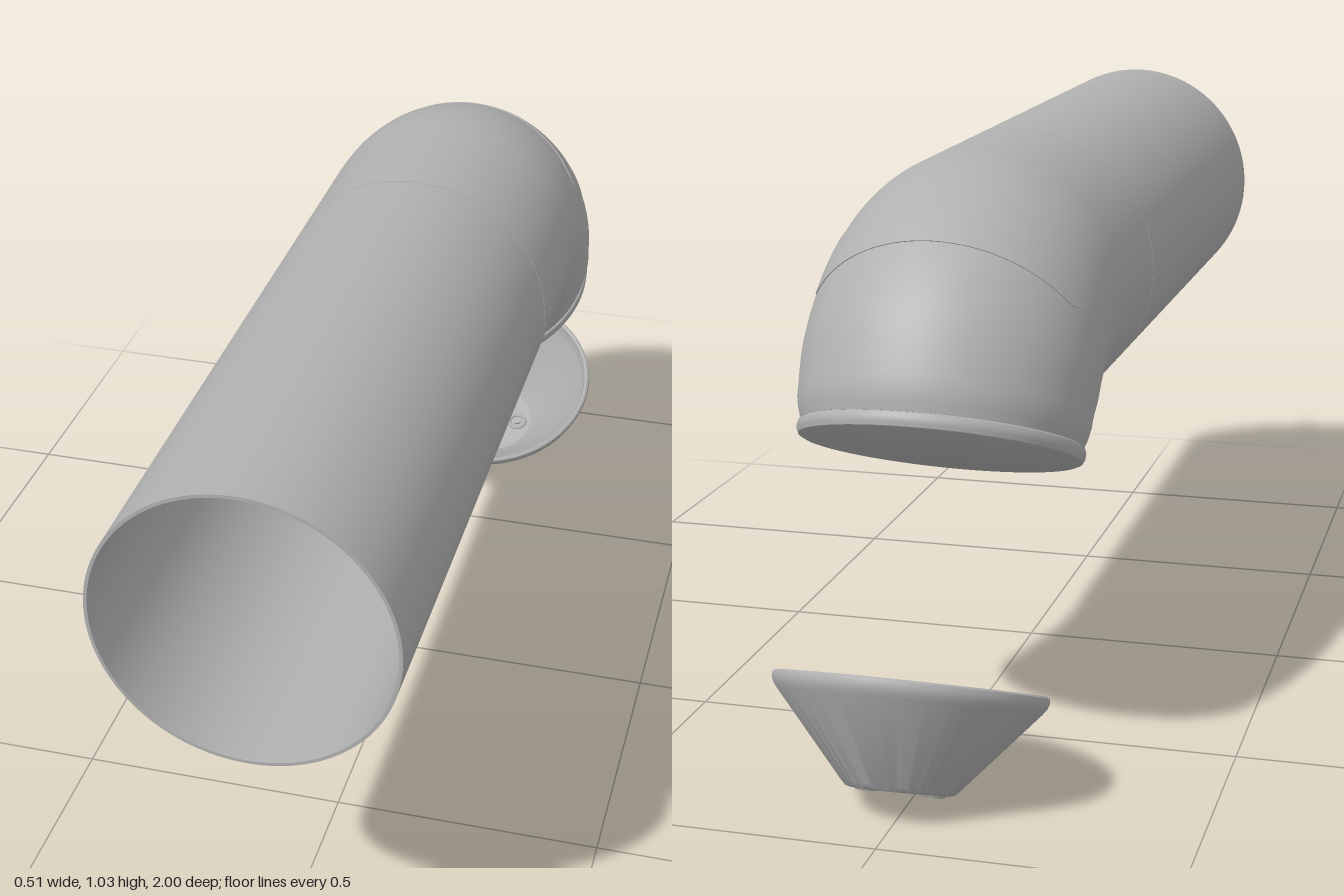
import * as THREE from 'three';
import { toCreasedNormals } from 'three/addons/utils/BufferGeometryUtils.js';

const R = 0.257;            // pipe radius
const WALL = 0.006;
const AXIS_Y = 0.783;       // height of the straight pipe's axis
const JOINT_Z = -0.083;     // where pipe meets elbow
const BEND_Z = -0.345;      // where the bend starts
const BEND_R = 0.27;        // bend radius of the axis
const TURN = THREE.MathUtils.degToRad(65.9);
const TILT = Math.PI / 2 - TURN;

// Point on the bent pipe: bend angle a, straight distance l past it, radius r, angle phi round the axis
function bendPoint(a, l, r, phi) {
  const out = BEND_R + r * Math.cos(phi);
  return [
    r * Math.sin(phi),
    AXIS_Y - BEND_R + out * Math.cos(a) - l * Math.sin(a),
    BEND_Z - out * Math.sin(a) - l * Math.cos(a),
  ];
}

// Surface through a grid of points fn(i, j)
function grid(ni, nj, fn) {
  const pos = [], index = [];
  for (let i = 0; i <= ni; i++) for (let j = 0; j <= nj; j++) pos.push(...fn(i, j));
  for (let i = 0; i < ni; i++) for (let j = 0; j < nj; j++) {
    const a = i * (nj + 1) + j, c = a + nj + 1;
    index.push(a, a + 1, c, a + 1, c + 1, c);
  }
  const g = new THREE.BufferGeometry();
  g.setAttribute('position', new THREE.Float32BufferAttribute(pos, 3));
  g.setIndex(index);
  return toCreasedNormals(g, 0.6);
}

function lathe(points, segments = 96) {
  const profile = points.map(([x, y]) => new THREE.Vector2(x, y));
  return toCreasedNormals(new THREE.LatheGeometry(profile, segments), 0.6);
}

export function createModel() {
  const root = new THREE.Group();
  const grey = new THREE.MeshStandardMaterial({ color: 0xb0b0b0, side: THREE.DoubleSide });
  grey.name = 'grey';
  const add = (parent, name, geometry) => {
    const mesh = new THREE.Mesh(geometry, grey);
    mesh.name = name;
    parent.add(mesh);
    return mesh;
  };

  // Straight pipe with thin wall
  const pipe = add(root, 'straightPipe', lathe([
    [R - WALL, JOINT_Z + 0.002], [R, JOINT_Z + 0.002], [R, 1], [R - WALL, 1], [R - WALL, JOINT_Z + 0.002],
  ]));
  pipe.rotation.x = Math.PI / 2;
  pipe.position.y = AXIS_Y;

  // Elbow: short straight, bend, slight taper towards the end cap
  const stations = [{ a: 0, l: JOINT_Z - BEND_Z, r: R }];
  stations[0].l = -stations[0].l;
  const steps = 28;
  for (let k = 0; k <= steps; k++) {
    const a = TURN * k / steps;
    stations.push({ a, l: 0, r: R - 0.005 * THREE.MathUtils.smoothstep(k / steps, 0.75, 1) });
  }
  stations.push({ a: TURN, l: 0.02, r: R - 0.009 }, { a: TURN, l: 0.038, r: R - 0.015 });
  const inner = stations.map(s => ({ ...s, r: s.r - WALL })).reverse();
  const loop = [...stations, ...inner, stations[0]];
  add(root, 'elbow', grid(loop.length - 1, 96, (i, j) => {
    const s = loop[i];
    return bendPoint(s.a, s.l, s.r, j / 96 * Math.PI * 2);
  }));

  // Round-ended band set across the top of the bend
  const bandEnd = 1.21, bandMid = 0.54, half = 0.058, cap = half / R;
  const across = [-1, -0.5, 0, 0.5, 1];
  const section = [
    ...across.map(w => [w, R + 0.0015]),
    ...across.slice().reverse().map(w => [w, R - WALL - 0.01]),
    [-1, R + 0.0015],
  ];
  add(root, 'elbowBand', grid(section.length - 1, 96, (i, j) => {
    const phi = -bandEnd * Math.cos(j / 96 * Math.PI);
    const t = Math.max(0, (Math.abs(phi) - (bandEnd - cap)) / cap);
    const width = half * Math.sqrt(Math.max(0, 1 - t * t));
    const [w, r] = section[i];
    return bendPoint(bandMid + w * width / (BEND_R + R * Math.cos(phi)), 0, r, phi);
  }));

  // End cap with rounded lip closing the elbow
  const lip = add(root, 'endCap', lathe([
    [0, 0], [0.237, 0], [0.243, 0.003], [0.246, 0.009], [0.247, 0.018], [0.245, 0.025], [0.241, 0.028], [0, 0.028],
  ]));
  lip.position.set(...bendPoint(TURN, 0.066, 0, 0));
  lip.rotation.x = TILT;

  // Loose conical cup below, tilted like the end cap
  const cup = new THREE.Group();
  cup.name = 'cup';
  cup.position.set(0.004, 0.0425, -0.857);
  cup.rotation.x = TILT;
  root.add(cup);
  add(cup, 'cupShell', lathe([
    [0, 0], [0.085, 0], [0.092, 0.002], [0.098, 0.008],
    [0.222, 0.148], [0.229, 0.157], [0.233, 0.167], [0.232, 0.175], [0.228, 0.178],
    [0.223, 0.175], [0.22, 0.165], [0.213, 0.15], [0.094, 0.014], [0.088, 0.008], [0, 0.008],
  ]));

  // Two screws through the cup floor, with a ring and a stud on both sides
  for (const side of [-1, 1]) {
    const screw = new THREE.Group();
    screw.name = side > 0 ? 'leftScrew' : 'rightScrew';
    screw.position.x = side * 0.057;
    cup.add(screw);
    for (const y of [0, 0.008]) {
      const ring = add(screw, 'screwRing', new THREE.TorusGeometry(0.018, 0.004, 8, 32));
      ring.rotation.x = Math.PI / 2;
      ring.position.y = y;
    }
    add(screw, 'screwStud', new THREE.CylinderGeometry(0.008, 0.008, 0.018, 24)).position.y = 0.004;
  }
  return root;
}
